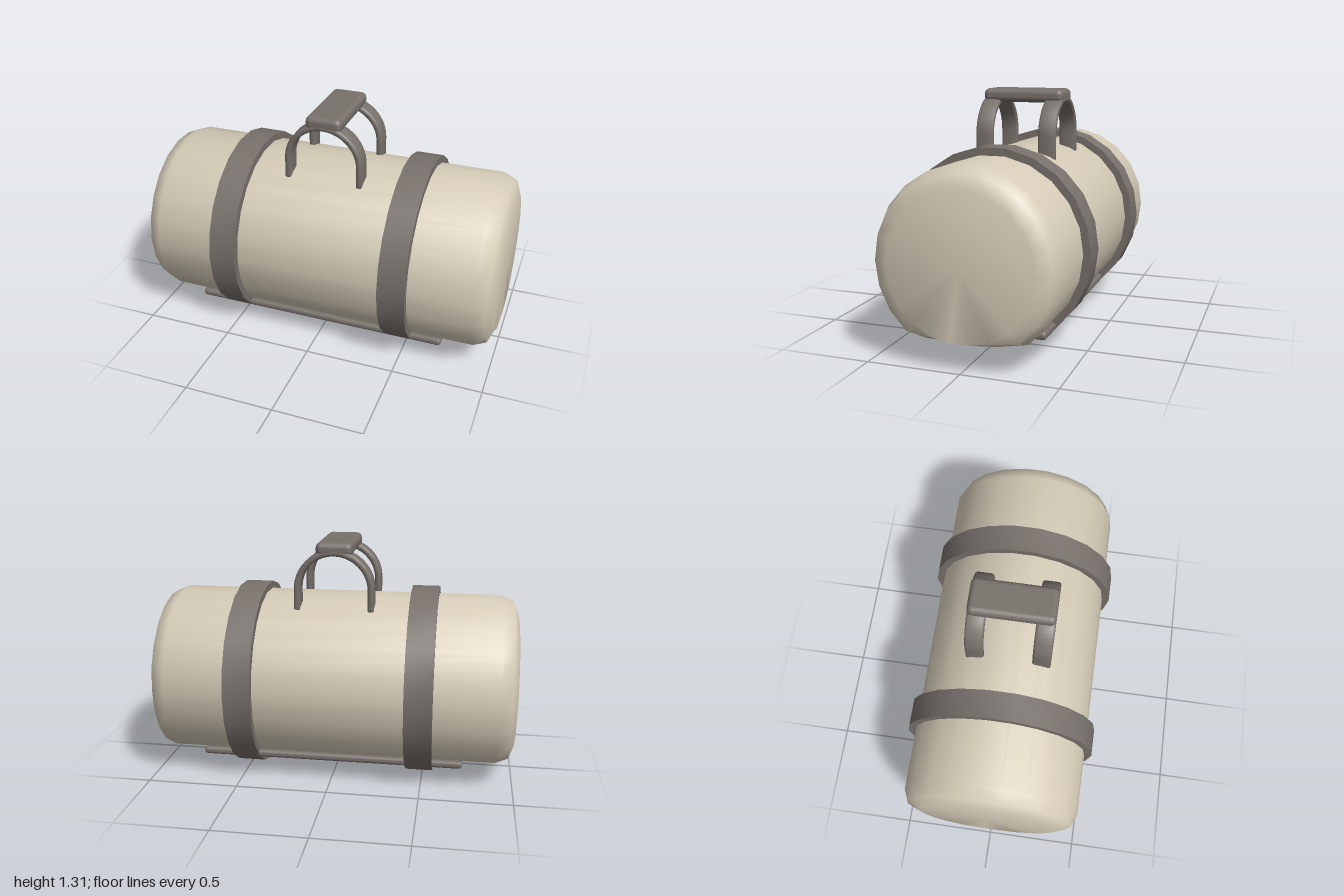
import * as THREE from 'three';
import { toCreasedNormals } from 'three/addons/utils/BufferGeometryUtils.js';
import { RoundedBoxGeometry } from 'three/addons/geometries/RoundedBoxGeometry.js';

const SIDES = 22;
const AXIS_Y = 0.523;
const FLOOR_Y = 0.155;

// Revolve a profile of [radius, x] pairs around the x axis
function revolve(profile) {
  const points = profile.map(([r, x]) => new THREE.Vector2(r, x));
  return new THREE.LatheGeometry(points, SIDES).rotateZ(-Math.PI / 2);
}

// Upside-down U strip, lying in the xy plane and extruded along z
function archGeometry(radius, thickness, bottom, springY, width) {
  const bevel = 0.012;
  const outer = radius + thickness / 2 - bevel;
  const inner = radius - thickness / 2 + bevel;
  const shape = new THREE.Shape();
  shape.moveTo(outer, bottom + bevel);
  shape.lineTo(outer, springY);
  shape.absarc(0, springY, outer, 0, Math.PI, false);
  shape.lineTo(-outer, bottom + bevel);
  shape.lineTo(-inner, bottom + bevel);
  shape.lineTo(-inner, springY);
  shape.absarc(0, springY, inner, Math.PI, 0, true);
  shape.lineTo(inner, bottom + bevel);
  shape.closePath();
  const depth = width - 2 * bevel;
  const geometry = new THREE.ExtrudeGeometry(shape, {
    depth, curveSegments: 14, bevelEnabled: true,
    bevelSize: bevel, bevelThickness: bevel, bevelSegments: 2,
  });
  return toCreasedNormals(geometry.translate(0, 0, -depth / 2), 0.9);
}

export function createModel() {
  const model = new THREE.Group();
  model.name = 'duffelBag';
  const canvas = new THREE.MeshStandardMaterial({ name: 'beige canvas', color: 0xd6ccb8 });
  const webbing = new THREE.MeshStandardMaterial({ name: 'grey webbing', color: 0x78716c });

  const add = (name, geometry, material, x, y, z) => {
    const mesh = new THREE.Mesh(geometry, material);
    mesh.name = name;
    mesh.position.set(x, y, z);
    model.add(mesh);
  };

  // Bag body: rounded-end drum, pressed flat underneath
  const body = revolve([
    [0, -1], [0.38, -1], [0.455, -0.97], [0.485, -0.9],
    [0.485, 0.9], [0.455, 0.97], [0.38, 1], [0, 1],
  ]);
  const position = body.attributes.position;
  for (let i = 0; i < position.count; i++) {
    position.setY(i, Math.max(position.getY(i), FLOOR_Y - AXIS_Y));
  }
  add('body', toCreasedNormals(body, 0.82), canvas, 0, AXIS_Y, 0);

  // Straps: full hoops that hang below the flat base
  const strap = toCreasedNormals(revolve([
    [0.474, -0.075], [0.526, -0.075], [0.526, 0.075], [0.474, 0.075], [0.474, -0.075],
  ]), 0.6);
  add('leftStrap', strap, webbing, 0.48, AXIS_Y, 0);
  add('rightStrap', strap, webbing, -0.485, AXIS_Y, 0);

  // Base board
  add('baseBoard', new RoundedBoxGeometry(1.45, 0.042, 0.69, 3, 0.018), webbing, 0, 0.136, 0);

  // Carry handles and the grip joining them
  const arch = archGeometry(0.202, 0.034, 0.945, 1.06, 0.1);
  add('frontHandle', arch, webbing, 0, 0, 0.18);
  add('backHandle', arch, webbing, 0, 0, -0.18);
  add('grip', new RoundedBoxGeometry(0.2, 0.074, 0.46, 3, 0.03), webbing, 0, 1.28, 0);

  return model;
}
